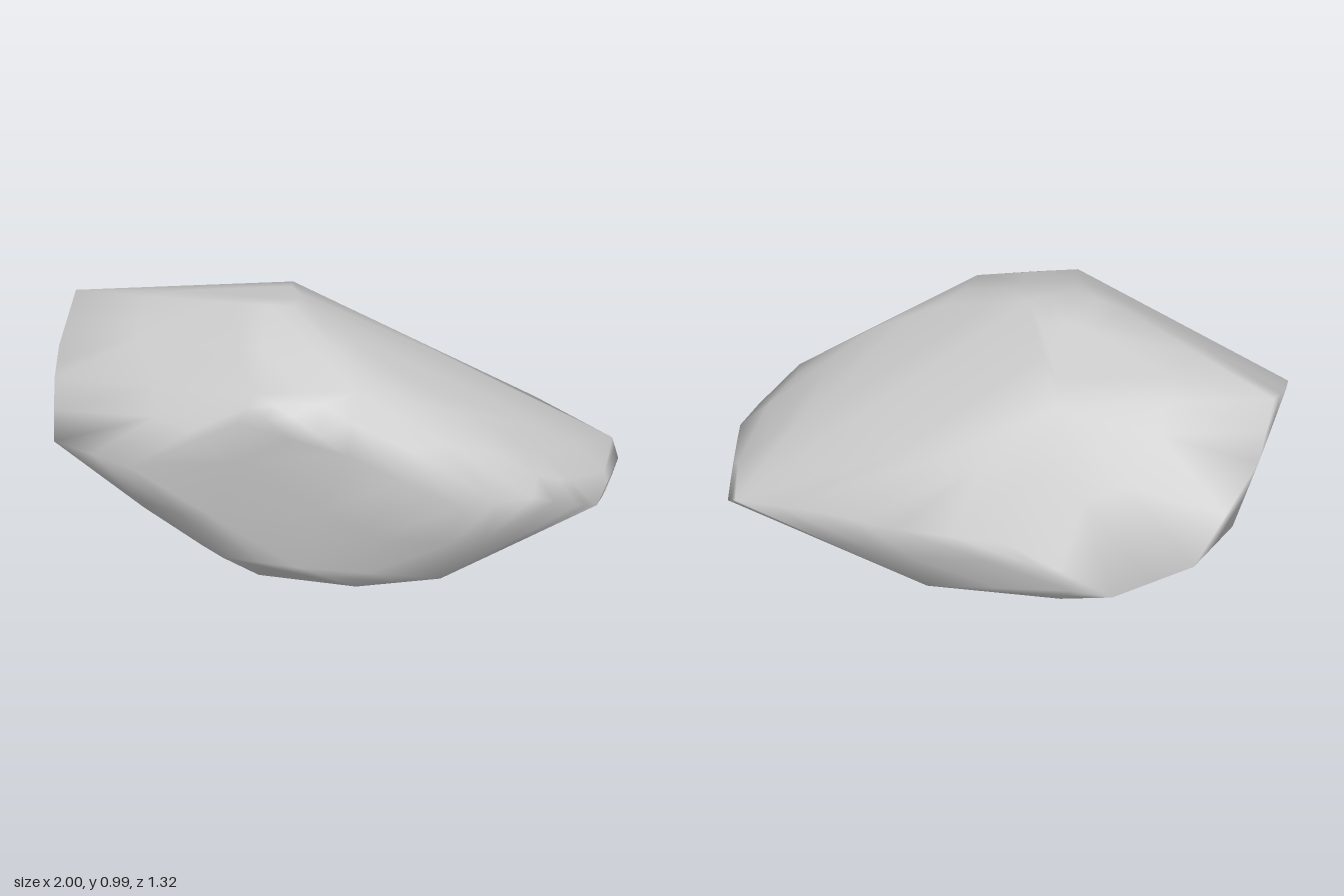
import * as THREE from 'three';
import { ConvexGeometry } from 'three/addons/geometries/ConvexGeometry.js';
import { mergeVertices } from 'three/addons/utils/BufferGeometryUtils.js';

// Corners of the boulder, grouped by the region they shape
const crown = [
  [-1, 0.84, -0.15], [-0.6, 0.91, 0.04], [-0.4, 0.96, 0.15], [-0.2, 0.985, 0.2],
  [-0.05, 0.965, 0.13], [-0.2, 0.92, -0.12], [-0.25, 0.86, -0.37],
  [0.27, 0.82, 0.27], [0.2, 0.8, 0.5], [0.55, 0.67, 0.28], [0.8, 0.49, 0.15],
  [-0.15, 0.8, 0.6],
];
const girdle = [
  [-1, 0.72, 0.1], [-0.98, 0.65, 0.25], [-0.93, 0.49, 0.46], [-0.6, 0.49, 0.65],
  [-0.2, 0.7, 0.66], [0, 0.74, 0.65], [0.2, 0.6, 0.63], [0.6, 0.4, 0.53],
  [0.83, 0.41, 0.39], [0.95, 0.33, 0.23], [1, 0.3, 0.13], [0.99, 0.29, -0.05],
  [0.96, 0.3, -0.35], [0.92, 0.35, -0.42], [0.6, 0.43, -0.55], [0.3, 0.42, -0.6],
  [-0.1, 0.42, -0.62], [-0.35, 0.27, -0.66], [-0.5, 0.26, -0.66],
  [-0.78, 0.36, -0.56], [-0.9, 0.47, -0.44], [-0.97, 0.66, -0.3],
];
const base = [
  [-0.28, 0.14, 0.56], [0, 0.13, 0.57], [0.5, 0.09, 0.45], [0.3, 0.01, 0.22],
  [0.2, 0.05, 0.5], [-0.18, 0.03, 0.42], [-0.45, 0.03, 0.18], [-0.7, 0.1, 0.04],
  [-0.66, 0.16, -0.2], [-0.3, 0.19, -0.6], [0.2, 0.14, -0.53], [0.3, 0, 0.2],
];

// Quarter every triangle, so that the soft shading stays near the edges
function quarterFaces(geometry) {
  const position = geometry.getAttribute('position');
  const corner = (i) => new THREE.Vector3().fromBufferAttribute(position, i);
  const points = [];
  for (let i = 0; i < position.count; i += 3) {
    const [a, b, c] = [corner(i), corner(i + 1), corner(i + 2)];
    const ab = a.clone().lerp(b, 0.5);
    const bc = b.clone().lerp(c, 0.5);
    const ca = c.clone().lerp(a, 0.5);
    points.push(a, ab, ca, ab, b, bc, ca, bc, c, ab, bc, ca);
  }
  return new THREE.BufferGeometry().setFromPoints(points);
}

export function createModel() {
  const stone = new THREE.MeshStandardMaterial({ color: 0xcccccc });
  stone.name = 'pale grey stone';

  // Wrap the corners, then share vertices so facets blend softly
  const points = [...crown, ...girdle, ...base].map((p) => new THREE.Vector3(...p));
  const geometry = mergeVertices(quarterFaces(new ConvexGeometry(points)), 1e-4);
  geometry.computeVertexNormals();

  const boulder = new THREE.Mesh(geometry, stone);
  boulder.name = 'boulder';
  const model = new THREE.Group();
  model.name = 'rock';
  model.add(boulder);
  return model;
}
